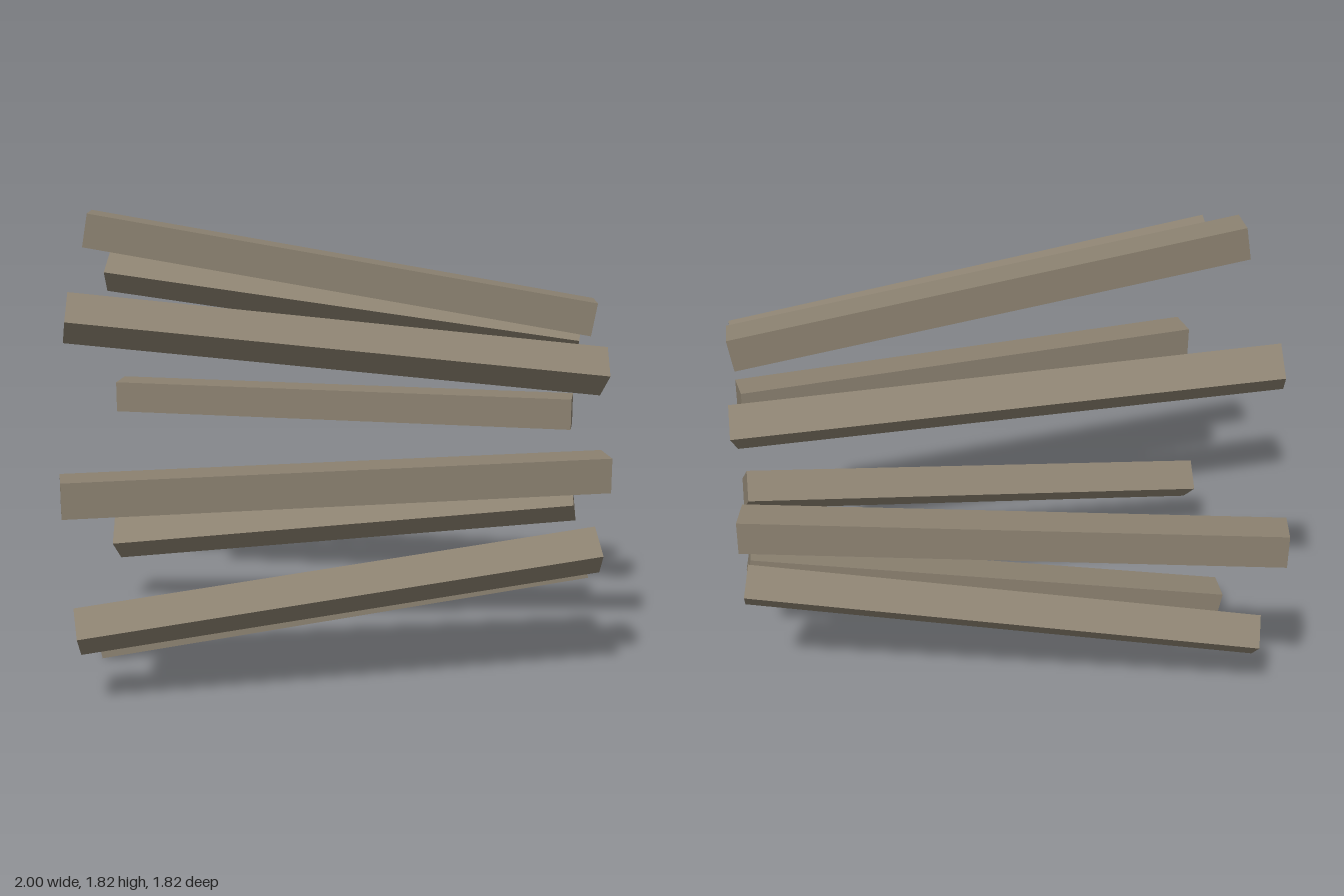
import * as THREE from 'three';

export function createModel() {
  const model = new THREE.Group();
  model.name = 'taperedBarRing';

  const count = 8;
  const thickness = 0.132;
  const length = 2.007;
  const radius = 0.67; // distance of each bar's middle from the axis
  const tilt = THREE.MathUtils.degToRad(10);
  const material = new THREE.MeshStandardMaterial({ color: 0x8b8170, flatShading: true });
  const geometry = new THREE.BoxGeometry(length, thickness, thickness);

  // Square bars around the x axis, converging towards +x
  for (let i = 0; i < count; i++) {
    const spoke = new THREE.Group();
    spoke.name = `barMount${i + 1}`;
    spoke.rotation.x = (i / count) * Math.PI * 2;

    const bar = new THREE.Mesh(geometry, material);
    bar.name = `bar${i + 1}`;
    bar.position.y = radius;
    bar.rotation.z = -tilt;
    spoke.add(bar);
    model.add(spoke);
  }

  // Raise the ring so its lowest bar touches the ground
  const reach = radius + (length * Math.sin(tilt) + thickness * Math.cos(tilt)) / 2;
  model.children.forEach((spoke) => { spoke.position.y = reach; });
  return model;
}
